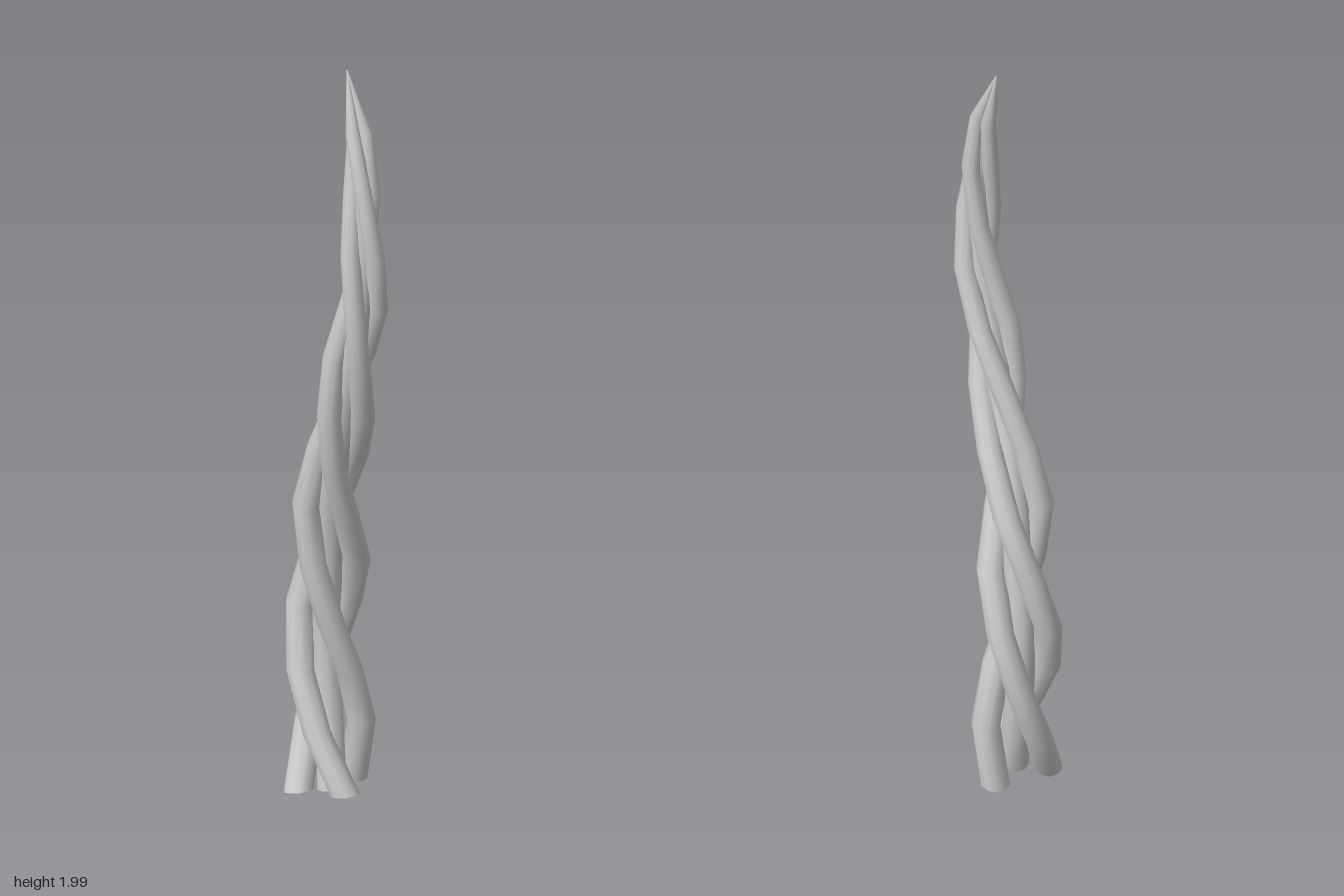
import * as THREE from 'three';

const RINGS = 14, SIDES = 10, TWIST = Math.PI / 4;

// Spine centre at each evenly spaced ring
const spineX = [-0.01, 0, 0, 0, 0, -0.008, -0.015, -0.015, -0.012, -0.005, -0.002, -0.003, -0.002, -0.01];
const spineZ = [-0.03, -0.07, -0.086, -0.088, -0.068, -0.04, 0.01, 0.058, 0.1, 0.133, 0.14, 0.137, 0.104, 0.06];
// Distance of the strands from the spine, and their thickness
const orbit = [0.08, 0.077, 0.068, 0.067, 0.064, 0.061, 0.049, 0.047, 0.044, 0.039, 0.034, 0.027, 0.018, 0];
const thick = [0.036, 0.035, 0.034, 0.034, 0.034, 0.033, 0.031, 0.03, 0.028, 0.026, 0.024, 0.022, 0.018, 0.0015];

const spine = spineX.map((x, i) => new THREE.Vector3(x, 0.026 + (i / (RINGS - 1)) * 1.974, spineZ[i]));

// Point in the tilted plane of ring i, offset u sideways and v forwards
function onRing(i, u, v) {
  const a = spine[Math.max(i - 1, 0)], b = spine[Math.min(i + 1, RINGS - 1)];
  const tilt = i === RINGS - 1 ? 0 : Math.atan2(b.z - a.z, b.y - a.y);
  return new THREE.Vector3(spine[i].x + u, spine[i].y - v * Math.sin(tilt), spine[i].z + v * Math.cos(tilt));
}

// Tapering tube through all rings, with a closed foot
function strandGeometry(startAngle, spread) {
  const pos = [], index = [];
  const ring = (i) => {
    const t = startAngle + i * TWIST, cu = Math.cos(t) * orbit[i] * spread, cv = Math.sin(t) * orbit[i] * spread;
    for (let k = 0; k < SIDES; k++) {
      const a = (k / SIDES) * Math.PI * 2;
      pos.push(...onRing(i, cu + Math.cos(a) * thick[i], cv + Math.sin(a) * thick[i]).toArray());
    }
    return onRing(i, cu, cv);
  };
  for (let i = 0; i < RINGS; i++) ring(i);
  for (let i = 0; i < RINGS - 1; i++) {
    for (let k = 0; k < SIDES; k++) {
      const a = i * SIDES + k, b = i * SIDES + (k + 1) % SIDES;
      index.push(a, a + SIDES, b, b, a + SIDES, b + SIDES);
    }
  }
  // Foot cap has its own vertices so its edge stays sharp
  const base = RINGS * SIDES, centre = ring(0);
  pos.push(...centre.toArray());
  for (let k = 0; k < SIDES; k++) index.push(base + SIDES, base + k, base + (k + 1) % SIDES);

  const g = new THREE.BufferGeometry();
  g.setAttribute('position', new THREE.Float32BufferAttribute(pos, 3));
  g.setIndex(index);
  g.computeVertexNormals();
  return g;
}

export function createModel() {
  const group = new THREE.Group();
  group.name = 'twistedHorn';
  const material = new THREE.MeshStandardMaterial({ color: 0xcccccc });

  // Core running along the spine
  const core = new THREE.Mesh(strandGeometry(0, 0), material);
  core.name = 'coreStrand';
  group.add(core);

  // Three strands winding round the core
  for (let s = 0; s < 3; s++) {
    const strand = new THREE.Mesh(strandGeometry(-Math.PI / 6 + (s * Math.PI * 2) / 3, 1), material);
    strand.name = 'twistedStrand' + (s + 1);
    group.add(strand);
  }
  return group;
}
